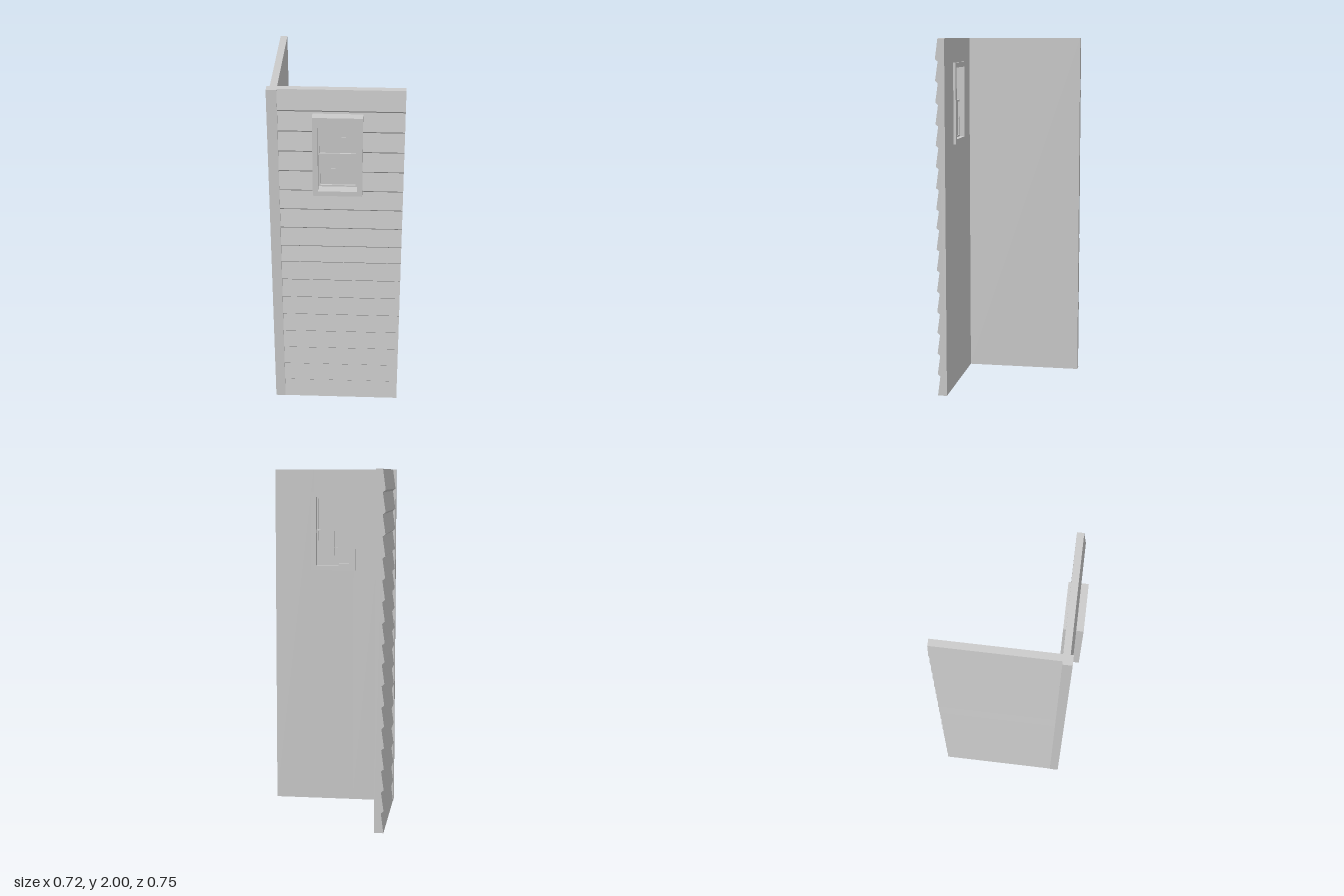
import * as THREE from 'three';

const mat = new THREE.MeshStandardMaterial({ color: 0xcccccc, flatShading: true });
const H = 2;

// Height of the overlap between clapboard k and the one above it
const seam = (k) => (k <= 8 ? 0.1193 * k : 1.06 + 0.1175 * (k - 9));

// Outer clapboard profile as [outward, y]: each board flares towards its lower lip
function clapboardLine(recess, lip) {
  const pts = [[lip, 0]];
  for (let k = 1; k <= 16; k++) {
    pts.push([recess, seam(k) - 0.007], [lip, seam(k) + 0.006]);
  }
  pts.push([recess, H]);
  return pts;
}

// Wall piece between two heights, extruded along its length
function sidingGeometry(inner, recess, lip, length, y0, y1) {
  const line = clapboardLine(recess, lip);
  const outAt = (y) => {
    const i = Math.max(1, line.findIndex((p) => p[1] >= y));
    const [a, b] = [line[i - 1], line[i]];
    return a[0] + ((b[0] - a[0]) * (y - a[1])) / (b[1] - a[1]);
  };
  const pts = [[inner, y0], [outAt(y0), y0], ...line.filter((p) => p[1] > y0 && p[1] < y1), [outAt(y1), y1], [inner, y1]];
  const shape = new THREE.Shape(pts.map(([u, v]) => new THREE.Vector2(u, v)));
  return new THREE.ExtrudeGeometry(shape, { depth: length, bevelEnabled: false });
}

function add(parent, name, geometry) {
  const mesh = new THREE.Mesh(geometry, mat);
  mesh.name = name;
  parent.add(mesh);
  return mesh;
}

// Box given by its limits
function box(parent, name, x0, x1, y0, y1, z0, z1) {
  const mesh = add(parent, name, new THREE.BoxGeometry(x1 - x0, y1 - y0, z1 - z0));
  mesh.position.set((x0 + x1) / 2, (y0 + y1) / 2, (z0 + z1) / 2);
  return mesh;
}

// Rectangular ring facing z
function ring(parent, name, x0, x1, y0, y1, z0, z1, border) {
  const rect = (path, d) => path.moveTo(x0 + d, y0 + d).lineTo(x1 - d, y0 + d).lineTo(x1 - d, y1 - d).lineTo(x0 + d, y1 - d).closePath();
  const shape = new THREE.Shape();
  rect(shape, 0);
  const hole = new THREE.Path();
  rect(hole, border);
  shape.holes.push(hole);
  const geometry = new THREE.ExtrudeGeometry(shape, { depth: z1 - z0, bevelEnabled: false });
  geometry.translate(0, 0, z0);
  return add(parent, name, geometry);
}

// Sash: frame, glass and thin glazing bars
function sash(parent, name, x0, x1, y0, y1, z0, z1) {
  const g = new THREE.Group();
  g.name = name;
  const zm = (z0 + z1) / 2, xm = (x0 + x1) / 2, ym = (y0 + y1) / 2;
  ring(g, 'sashFrame', x0, x1, y0, y1, z0, z1, 0.01);
  box(g, 'glass', x0 + 0.008, x1 - 0.008, y0 + 0.008, y1 - 0.008, zm - 0.002, zm + 0.002);
  box(g, 'verticalGlazingBar', xm - 0.001, xm + 0.001, y0 + 0.008, y1 - 0.008, zm - 0.003, zm + 0.003);
  box(g, 'horizontalGlazingBar', x0 + 0.008, x1 - 0.008, ym - 0.001, ym + 0.001, zm - 0.003, zm + 0.003);
  parent.add(g);
}

export function createModel() {
  const model = new THREE.Group();
  model.name = 'cladWallCorner';

  // Front wall, in pieces around the window opening
  const front = new THREE.Group();
  front.name = 'frontWall';
  model.add(front);
  const [wx0, wx1, wy0, wy1] = [-0.11, 0.127, 1.42, 1.85];
  for (const [x0, x1, y0, y1] of [
    [-0.305, wx0, 0, H], [wx1, 0.358, 0, H],
    [wx0, wx1, 0, wy0], [wx0, wx1, wy1, H],
  ]) {
    const g = sidingGeometry(0.286, 0.323, 0.338, x1 - x0, y0, y1);
    g.rotateY(-Math.PI / 2).translate(x1, 0, 0);
    add(front, 'frontSiding', g);
  }

  // Side wall, boards facing -x
  const side = sidingGeometry(0.305, 0.343, 0.358, 0.666, 0, H);
  side.rotateY(Math.PI).translate(0, 0, 0.288);
  add(model, 'sideWall', side);

  // Plain corner post
  box(model, 'cornerPost', -0.36, -0.305, 0, H, 0.288, 0.339);

  // Double-hung window: lower sash sits behind the upper one
  const win = new THREE.Group();
  win.name = 'window';
  model.add(win);
  ring(win, 'windowFrame', -0.123, 0.14, 1.405, 1.865, 0.272, 0.376, 0.028);
  sash(win, 'upperSash', -0.096, 0.113, 1.633, 1.838, 0.322, 0.342);
  sash(win, 'lowerSash', -0.096, 0.113, 1.432, 1.646, 0.301, 0.321);

  return model;
}
